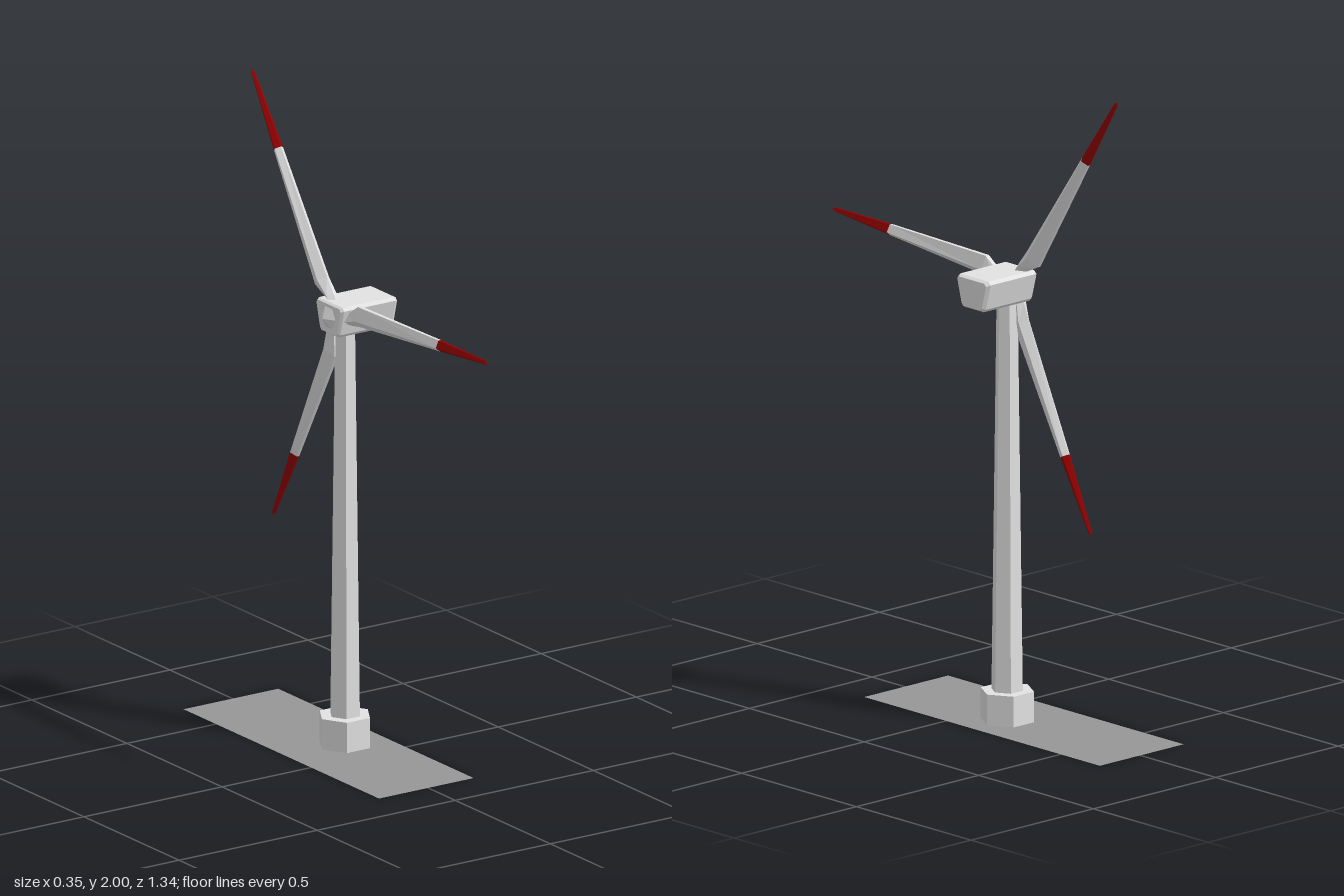
import * as THREE from 'three';

const AXIS_Z = -0.121, HUB_Y = 1.353;

// Closed faceted solid through rings of [x, y, z] points (counter-clockwise seen from the last ring).
function loft(rings, capStart = true, capEnd = true) {
  const pos = [];
  const tri = (a, b, c) => pos.push(...a, ...b, ...c);
  for (let k = 0; k < rings.length - 1; k++) {
    const a = rings[k], b = rings[k + 1], n = a.length;
    for (let i = 0; i < n; i++) {
      const j = (i + 1) % n;
      tri(a[i], a[j], b[j]);
      tri(a[i], b[j], b[i]);
    }
  }
  const first = rings[0], last = rings[rings.length - 1];
  for (let i = 1; i < first.length - 1; i++) {
    if (capStart) tri(first[0], first[i + 1], first[i]);
    if (capEnd) tri(last[0], last[i], last[i + 1]);
  }
  const g = new THREE.BufferGeometry();
  g.setAttribute('position', new THREE.Float32BufferAttribute(pos, 3));
  g.computeVertexNormals();
  return g;
}

// Faceted six-sided column with corners on the x axis.
function hexColumn(rTop, rBottom, height, open) {
  const g = new THREE.CylinderGeometry(rTop, rBottom, height, 6, 1, open).toNonIndexed();
  g.rotateY(Math.PI / 6);
  g.computeVertexNormals();
  return g;
}

export function createModel() {
  const white = new THREE.MeshStandardMaterial({ color: 0xe2e2e2 });
  white.name = 'white paint';
  const red = new THREE.MeshStandardMaterial({ color: 0x980000 });
  red.name = 'red paint';
  const grey = new THREE.MeshStandardMaterial({ color: 0x969696, side: THREE.DoubleSide });
  grey.name = 'grey ground';

  const model = new THREE.Group();
  model.name = 'windTurbine';
  const add = (parent, name, geometry, material, x = 0, y = 0, z = 0) => {
    const m = new THREE.Mesh(geometry, material);
    m.name = name;
    m.position.set(x, y, z);
    parent.add(m);
    return m;
  };

  // Ground plate
  const plate = new THREE.PlaneGeometry(0.343, 1.028).rotateX(-Math.PI / 2);
  add(model, 'groundPlate', plate, grey, -0.006, 0, -0.157);

  // Foundation and tapering tower
  const base = hexColumn(0.083, 0.083, 0.095, false);
  add(model, 'foundation', base, white, 0.028, 0.0485, AXIS_Z);
  add(model, 'tower', hexColumn(0.033, 0.049, 1.22, true), white, 0.029, 0.70, AXIS_Z);

  // Nacelle: trapezoid with clipped corners and bevelled ends
  const half = [[0.062, 0.048], [0.071, 0.038], [0.05, -0.042], [0.042, -0.051]]; // [z, y]
  const outline = [...half, ...half.map(([z, y]) => [-z, y]).reverse()];
  const stations = [[-0.031, 0.9], [-0.023, 1], [0.163, 1], [0.174, 0.88]]; // [x, scale]
  const shell = loft(stations.map(([x, s]) => outline.map(([z, y]) => [x, y * s, z * s])));
  add(model, 'nacelle', shell, white, 0, 1.351, AXIS_Z);

  // Nose cone
  const nose = new THREE.ConeGeometry(0.04, 0.024, 6).toNonIndexed();
  nose.computeVertexNormals();
  nose.rotateZ(Math.PI / 2);
  add(model, 'noseCone', nose, white, -0.041, HUB_Y, AXIS_Z);

  // Blade section: thin leading edge, thick ridge, narrow blunt trailing edge
  const section = ([r, lead, trail, t]) => {
    const ridge = lead - 0.35 * (lead + trail);
    return [[0, r, lead], [t, r, ridge], [0.3 * t, r, -trail], [-0.3 * t, r, -trail], [-t, r, ridge]];
  };
  const stem = [
    [0.02, 0.018, 0.018, 0.018],
    [0.065, 0.018, 0.018, 0.019],
    [0.12, 0.014, 0.05, 0.022],
    [0.54, 0.01, 0.025, 0.015],
  ];
  const tip = [
    stem[3],
    [0.78, 0.006, 0.007, 0.006],
    [0.79, 0.003, 0.003, 0.004],
  ];
  const stemGeometry = loft(stem.map(section), true, false);
  const tipGeometry = loft(tip.map(section), false, true);

  // Rotor with three blades
  const rotor = new THREE.Group();
  rotor.name = 'rotor';
  rotor.position.set(0.002, HUB_Y, AXIS_Z);
  for (let i = 0; i < 3; i++) {
    const blade = new THREE.Group();
    blade.name = 'blade' + (i + 1);
    blade.rotation.x = THREE.MathUtils.degToRad(-34.7 + 120 * i);
    add(blade, 'bladeBody', stemGeometry, white);
    add(blade, 'bladeTip', tipGeometry, red);
    rotor.add(blade);
  }
  model.add(rotor);
  return model;
}
